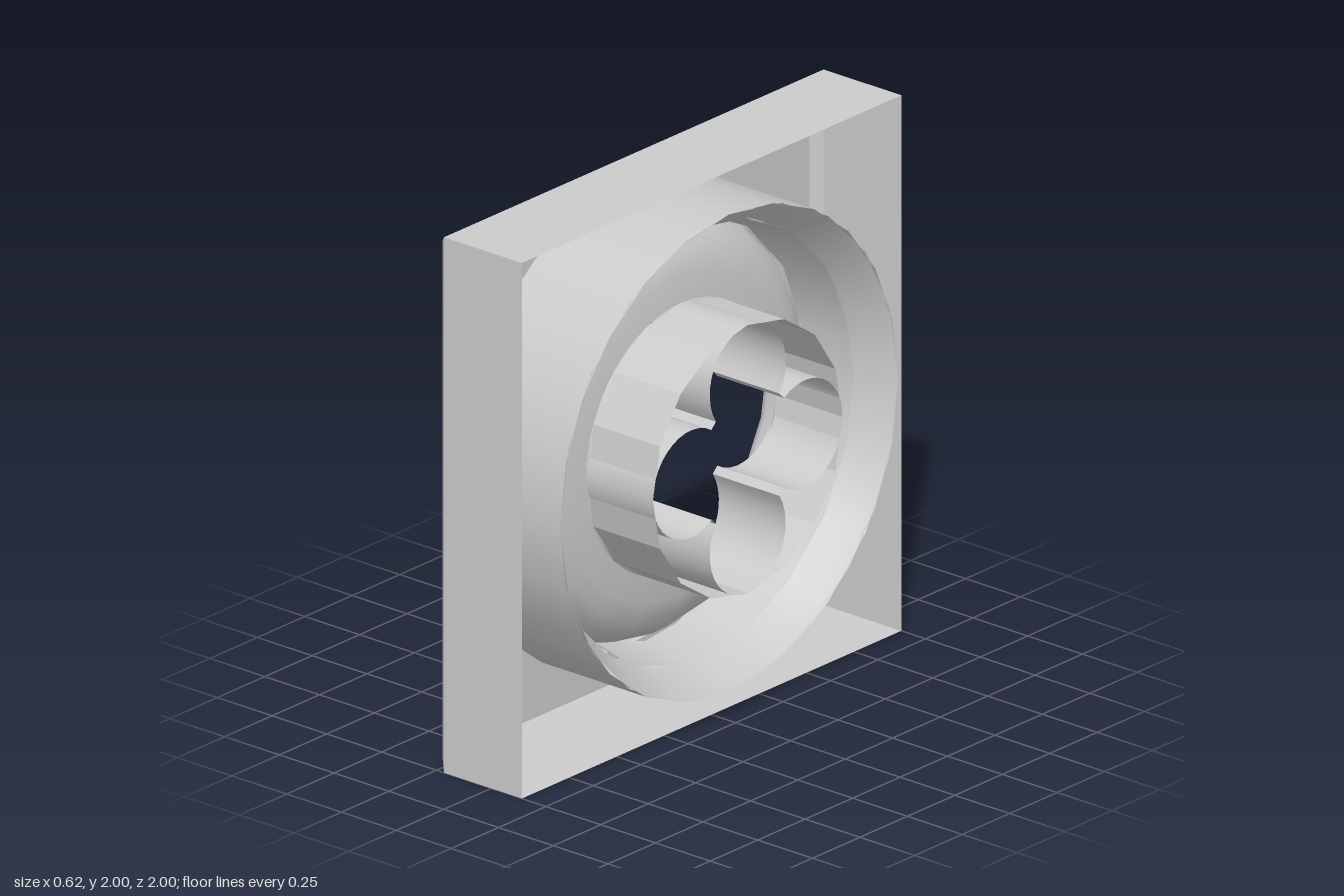
import * as THREE from 'three';

const smooth = new THREE.MeshStandardMaterial({ color: 0xcccccc, side: THREE.DoubleSide });
const faceted = new THREE.MeshStandardMaterial({ color: 0xcccccc, side: THREE.DoubleSide, flatShading: true });

const LOBE_OFFSET = 0.3, LOBE_RADIUS = 0.2, CUSP = THREE.MathUtils.degToRad(123);

// Parts are turned about the local y axis, which is laid along x at the end.
function turned(name, points, segments, material) {
  const profile = points.map(([r, y]) => new THREE.Vector2(r, y));
  const mesh = new THREE.Mesh(new THREE.LatheGeometry(profile, segments), material);
  mesh.name = name;
  return mesh;
}

// Point of the first lobe, measured from its outermost point, turned by quarter turns
function lobePoint(radius, angle, quarter = 0) {
  return new THREE.Vector2(radius * Math.sin(angle), LOBE_OFFSET + radius * Math.cos(angle))
    .rotateAround(new THREE.Vector2(), -quarter * Math.PI / 2);
}

// Skin between cross-sections, each a list of Vector3 of the same length
function loft(rows) {
  const n = rows[0].length, index = [];
  for (let j = 0; j < rows.length - 1; j++) {
    for (let i = 0; i < n - 1; i++) {
      const a = j * n + i, b = a + n;
      index.push(a, b, a + 1, a + 1, b, b + 1);
    }
  }
  const geometry = new THREE.BufferGeometry().setFromPoints(rows.flat());
  geometry.setIndex(index);
  geometry.computeVertexNormals();
  return geometry;
}

// Closed outline of the corner between two lobes
function spandrelOutline(lobeRadius, start, end, ringRadius, height) {
  const points = [], steps = 16;
  for (let i = 0; i <= steps; i++) {
    points.push(lobePoint(lobeRadius, THREE.MathUtils.lerp(start, end, i / steps)));
  }
  for (let i = 0; i <= steps; i++) {
    points.push(lobePoint(lobeRadius, -THREE.MathUtils.lerp(end, start, i / steps), 1));
  }
  const first = points[0], last = points[points.length - 1];
  const a0 = Math.atan2(last.y, last.x), a1 = Math.atan2(first.y, first.x);
  for (let i = 1; i <= steps; i++) {
    const a = THREE.MathUtils.lerp(a0, a1, i / steps);
    points.push(new THREE.Vector2(ringRadius * Math.cos(a), ringRadius * Math.sin(a)));
  }
  points.push(first.clone());
  return points.map(p => new THREE.Vector3(p.x, height, p.y));
}

export function createModel() {
  const model = new THREE.Group();
  model.name = 'quatrefoilWindow';

  // Square frame: open shell with a chamfered face edge
  const d = Math.SQRT2;
  const frame = turned('frameWalls', [[d, 0.14], [d, -0.215], [0.967 * d, -0.25]], 4, faceted);
  frame.rotation.y = Math.PI / 4;
  model.add(frame);

  // Face panel with a round opening
  const s = 0.967;
  const square = new THREE.Shape([[-s, -s], [s, -s], [s, s], [-s, s]].map(p => new THREE.Vector2(...p)));
  square.holes.push(new THREE.Path().absarc(0, 0, 0.85, 0, Math.PI * 2, true));
  const panel = new THREE.Mesh(new THREE.ShapeGeometry(square, 20), faceted);
  panel.name = 'facePanel';
  panel.rotation.x = Math.PI / 2;
  panel.position.y = -0.25;
  model.add(panel);

  // Tube through the frame, with the sloping lip inside its far end
  model.add(turned('outerTube', [[0.89, -0.25], [0.89, 0.22]], 24, smooth));
  model.add(turned('innerLip', [[0.89, 0.22], [0.85, 0.17], [0.805, 0.09]], 20, smooth));
  model.add(turned('innerStep', [[0.805, 0.09], [0.77, -0.1]], 17, smooth));

  // Rolled rim running into the shallow bowl
  model.add(turned('rimAndBowl', [
    [0.88, -0.25], [0.88, -0.28], [0.865, -0.303], [0.84, -0.31], [0.81, -0.302], [0.793, -0.27],
    [0.787, -0.2], [0.77, -0.13], [0.73, -0.07], [0.67, -0.03], [0.6, -0.01], [0.5, 0],
  ], 20, smooth));

  // Ring around the quatrefoil
  model.add(turned('quatrefoilRing', [[0.5, 0], [0.5, 0.305]], 16, faceted));

  // Four lobes with corner tracery between them
  const lobeArc = height => Array.from({ length: 25 }, (_, i) => {
    const p = lobePoint(LOBE_RADIUS, THREE.MathUtils.lerp(-CUSP, CUSP, i / 24));
    return new THREE.Vector3(p.x, height, p.y);
  });
  const lobeGeometry = loft([lobeArc(0), lobeArc(0.305)]);

  const tipA = lobePoint(LOBE_RADIUS, CUSP), tipB = lobePoint(LOBE_RADIUS, -CUSP, 1);
  const tipRow = height => [tipA, tipB].map(p => new THREE.Vector3(p.x, height, p.y));
  const tipGeometry = loft([tipRow(0), tipRow(0.305)]);

  const edge = spandrelOutline(LOBE_RADIUS, 0, CUSP, 0.5, 0);
  const bevel = spandrelOutline(0.22, Math.PI / 4, 1.98, 0.48, 0.015);
  const bed = spandrelOutline(0.24, 0.95, 1.9, 0.465, 0.05);
  const middle = edge.map(() => new THREE.Vector3(0.34, 0.055, 0.34));
  const spandrelGeometry = loft([edge, bevel, bed, middle]);

  for (let k = 0; k < 4; k++) {
    const quarter = new THREE.Group();
    quarter.name = 'quatrefoilQuarter' + (k + 1);
    quarter.rotation.y = k * Math.PI / 2;
    for (const [name, geometry] of [['lobeWall', lobeGeometry], ['cuspTip', tipGeometry], ['spandrel', spandrelGeometry]]) {
      const mesh = new THREE.Mesh(geometry, smooth);
      mesh.name = name;
      quarter.add(mesh);
    }
    model.add(quarter);
  }

  // Lay the axis along x and stand the frame on the ground
  model.rotation.z = -Math.PI / 2;
  model.position.y = 1;
  const root = new THREE.Group();
  root.name = 'window';
  root.add(model);
  return root;
}
